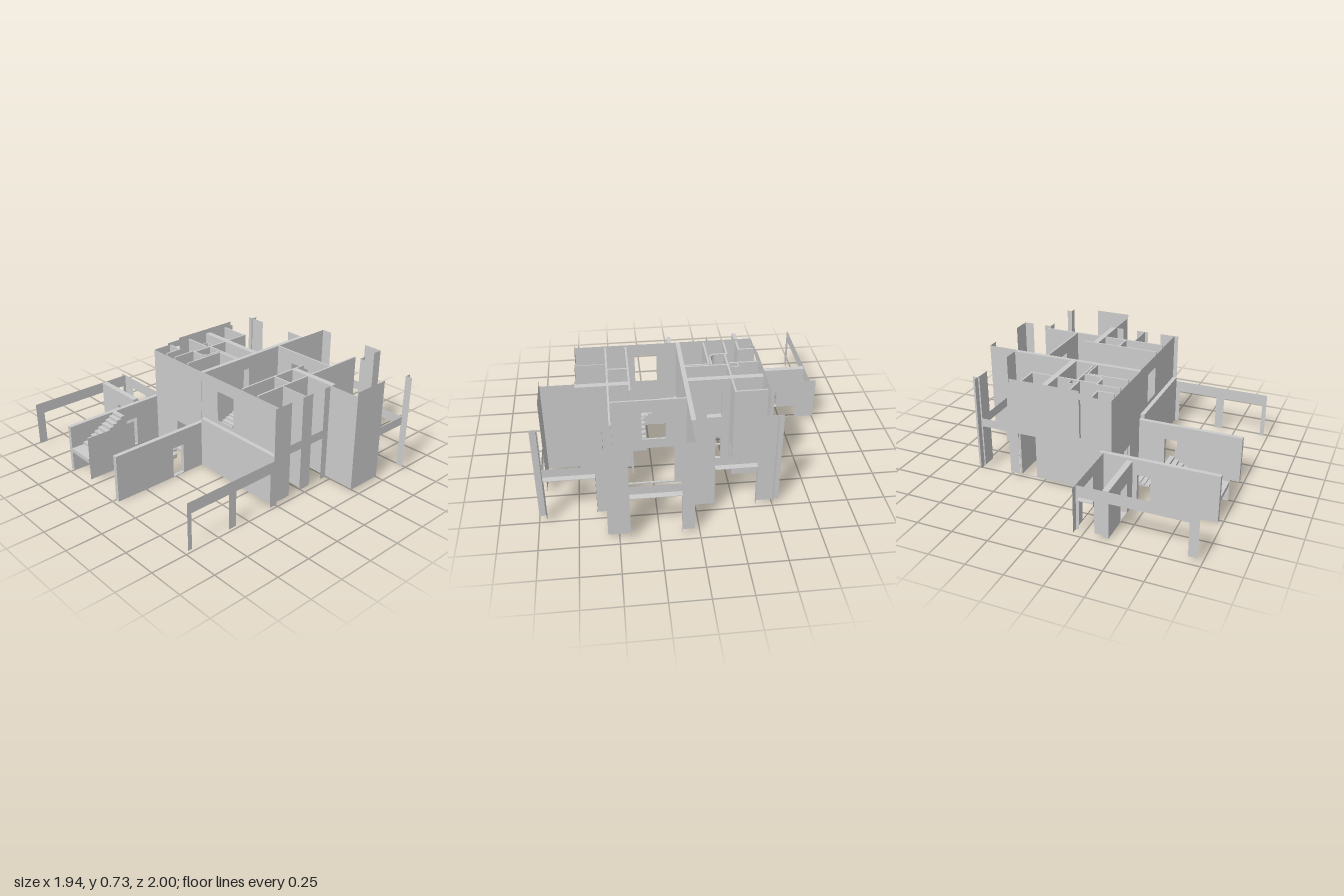
import * as THREE from 'three';

const mat = new THREE.MeshStandardMaterial({ color: 0xcccccc, side: THREE.DoubleSide, flatShading: true });
const LOW = 0.02, MID = 0.33, SILL = 0.39, TOP = 0.69;

export function createModel() {
  const house = new THREE.Group();
  house.name = 'house';

  function add(name, geometry) {
    const mesh = new THREE.Mesh(geometry, mat);
    mesh.name = name;
    house.add(mesh);
  }

  function box(name, x0, x1, y0, y1, z0, z1) {
    const g = new THREE.BoxGeometry(x1 - x0, y1 - y0, z1 - z0);
    g.translate((x0 + x1) / 2, (y0 + y1) / 2, (z0 + z1) / 2);
    add(name, g);
  }

  // Upright panel along 'x' or 'z'; holes are [a0, a1, y0, y1]; thickness 0 gives a sheet
  function wall(name, axis, at, a0, a1, y0, y1, thickness = 0, holes = []) {
    const rect = (C, [p, q, r, s]) =>
      new C([[p, r], [q, r], [q, s], [p, s]].map(([u, v]) => new THREE.Vector2(u, v)));
    const shape = rect(THREE.Shape, [a0, a1, y0, y1]);
    shape.holes = holes.map(h => rect(THREE.Path, h));
    const g = thickness
      ? new THREE.ExtrudeGeometry(shape, { depth: thickness, bevelEnabled: false })
      : new THREE.ShapeGeometry(shape);
    if (axis === 'z') {
      g.rotateY(-Math.PI / 2);
      g.translate(at + thickness, 0, 0);
    } else g.translate(0, 0, at);
    add(name, g);
  }

  // Row of full-height piers with a spandrel sheet across each gap
  function facade(name, axis, at, piers) {
    piers.forEach(([a, b, top = TOP], i) => {
      wall(name + 'Pier', axis, at, a, b, LOW, top);
      if (i) wall(name + 'Spandrel', axis, at, piers[i - 1][1], a, MID, SILL);
    });
  }

  // Lining of a ground-floor opening: head and two jambs
  function lining(name, x0, x1, z0, z1) {
    box(name + 'Head', x0, x1, MID - 0.004, MID, z0, z1);
    for (const z of [z0, z1]) wall(name + 'Jamb', 'x', z, x0, x1, LOW, MID);
  }

  // Outer shell, front
  facade('entranceFront', 'x', 0.73, [[-0.27, -0.13], [-0.03, 0.06], [0.17, 0.22]]);
  facade('bayFront', 'x', 0.955, [[0.22, 0.48, 0.725], [0.71, 0.75]]);
  facade('baySide', 'z', 0.71, [[0.57, 0.63], [0.95, 1.0]]);
  lining('bayWindow', 0.71, 0.75, 0.63, 0.95);
  wall('bayReturn', 'z', 0.23, 0.73, 0.955, LOW, TOP);
  wall('bayWall', 'z', 0.23, 0.38, 0.73, LOW, TOP, 0.04, [[0.42, 0.50, 0.03, 0.22]]);
  facade('sideStep', 'x', 0.57, [[0.71, 0.76], [0.86, 0.93]]);

  // Outer shell, side
  facade('sideWall', 'z', 0.93, [[0.03, 0.11], [0.43, 0.57]]);
  lining('sideWindow', 0.93, 0.97, 0.11, 0.43);
  wall('sideReturn', 'x', 0.03, 0.71, 0.93, LOW, TOP);
  facade('rearSide', 'z', 0.71, [[-0.545, -0.39], [-0.12, 0.03]]);
  lining('rearWindow', 0.71, 0.75, -0.39, -0.12);

  // Outer shell, back
  wall('backWall', 'x', -0.505, -0.24, 0.50, LOW, TOP, 0,
    [[0.30, 0.43, 0.025, MID], [-0.10, -0.02, SILL, 0.66]]);
  wall('backParapet', 'x', -0.505, -0.02, 0.48, TOP, 0.72);
  wall('backParapet', 'x', -0.505, -0.12, -0.02, TOP, 0.705);
  wall('backPier', 'x', -0.505, 0.70, 0.75, LOW, TOP);
  wall('backSpandrel', 'x', -0.505, 0.50, 0.70, MID, SILL);

  // Long side wall: lower storey with a ledge, upper storey set back
  wall('longSideLower', 'z', -0.27, 0.03, 0.73, 0, 0.36, 0.03);
  wall('longSideUpper', 'z', -0.24, 0.03, 0.73, 0.36, TOP, 0, [[0.165, 0.32, SILL, 0.60]]);
  wall('rearSideWall', 'z', -0.243, -0.505, 0, 0, TOP, 0, [[-0.28, -0.17, 0.02, 0.22]]);
  box('doorSill', -0.27, -0.22, 0, LOW, -0.28, -0.18);

  // Spine wall and garden walls with their doorways
  const gardenDoor = [[-0.52, -0.43, 0.005, 0.22]];
  wall('spineWall', 'x', 0, -0.24, 0.71, 0, TOP, 0.03,
    [[0.09, 0.17, 0.02, 0.22], [0.12, 0.17, SILL, 0.60]]);
  wall('gardenWall', 'x', 0, -0.97, -0.24, 0, MID, 0.03, gardenDoor);
  wall('gardenWall', 'x', -0.53, -0.97, -0.17, 0, MID, 0.03, gardenDoor);
  wall('stairParapet', 'x', -0.29, -0.97, -0.60, LOW, MID);

  // Front and rear arcades, with the rear court walls
  for (const [a, b] of [[-0.97, -0.94], [-0.65, -0.59], [-0.30, -0.27]])
    wall('frontArcadePost', 'x', 0.73, a, b, 0, 0.25);
  wall('frontArcadeBeam', 'x', 0.73, -0.97, -0.27, 0.25, MID);
  for (const [a, b] of [[-0.97, -0.91], [-0.38, -0.32], [-0.22, -0.20]])
    wall('rearArcadePost', 'x', -0.955, a, b, LOW, 0.25);
  wall('rearArcadeBeam', 'x', -0.955, -0.97, -0.20, 0.25, MID);
  box('rearLintel', -0.32, -0.22, 0.245, 0.25, -0.99, -0.955);
  wall('courtSide', 'z', -0.20, -1.0, -0.53, LOW, MID, 0, [[-0.86, -0.70, 0.03, 0.25]]);
  wall('courtPartition', 'z', -0.41, -0.95, -0.56, 0, MID, 0.04, [[-0.76, -0.65, 0.005, 0.22]]);

  // Interior partitions: axis, position, start, end, thickness, holes
  const T = 0.012;
  const partitions = [
    ['x', 0.515, -0.22, 0.71, T, [[-0.13, -0.05, 0.03, 0.22], [0.35, 0.44, 0.03, 0.22]]],
    ['x', 0.375, -0.22, 0.34, T, [[0.10, 0.18, 0.03, 0.22]]],
    ['x', -0.295, -0.05, 0.43, T, [[0.30, 0.38, 0.03, 0.22]]],
    ['x', -0.31, -0.22, -0.05, T, []],
    ['x', -0.17, -0.22, 0.07, T, []],
    ['x', -0.40, -0.22, -0.10, T, []],
    ['z', -0.108, -0.50, -0.39, T, []],
    ['z', 0.065, -0.50, -0.30, T, []],
    ['z', 0.065, -0.16, 0, T, []],
    ['z', 0.083, -0.30, 0, T, [[-0.28, -0.17, 0.03, 0.22]]],
    ['z', 0.415, -0.50, -0.29, T, []],
    ['z', 0.455, 0.03, 0.515, T, [[0.165, 0.32, SILL, 0.60], [0.11, 0.43, 0.03, 0.32]]],
    ['z', 0.06, 0.38, 0.52, T, []],
    ['z', -0.005, 0.53, 0.73, 0.006, []],
    ['z', 0.23, -0.50, 0, 0.04,
      [[-0.44, -0.36, 0.03, 0.22], [-0.23, -0.15, 0.03, 0.22], [-0.23, -0.13, SILL, 0.60]]],
  ];
  for (const [axis, at, a, b, t, holes] of partitions)
    wall('partition', axis, at, a, b, LOW, TOP, t, holes);

  // Curved partition linking two inner walls
  const curve = new THREE.Shape();
  curve.moveTo(-0.06, 0.31);
  curve.lineTo(-0.06, 0.23);
  curve.quadraticCurveTo(-0.06, 0.175, 0, 0.175);
  curve.lineTo(0.09, 0.175);
  curve.lineTo(0.09, 0.187);
  curve.lineTo(0, 0.187);
  curve.quadraticCurveTo(-0.048, 0.187, -0.048, 0.23);
  curve.lineTo(-0.048, 0.31);
  const bent = new THREE.ExtrudeGeometry(curve, { depth: TOP - LOW, bevelEnabled: false, curveSegments: 8 });
  bent.rotateX(-Math.PI / 2);
  bent.translate(0, LOW, 0);
  add('curvedPartition', bent);

  // Small shaft
  for (const x of [0.07, 0.12]) wall('shaft', 'z', x, -0.36, -0.30, LOW, TOP, 0.008);
  wall('shaft', 'x', -0.36, 0.07, 0.128, LOW, TOP, 0.008);

  // Straight flight of treads along one axis
  function flight(name, axis, from, to, c0, c1, y0, y1, n) {
    const d = (to - from) / n;
    for (let i = 0; i < n; i++) {
      const a = from + i * d, y = y0 + (y1 - y0) * (i + 1) / n;
      const lo = Math.min(a, a + d), hi = Math.max(a, a + d), b = Math.max(0, y - 0.03);
      if (axis === 'x') box(name, lo, hi, b, y, c0, c1);
      else box(name, c0, c1, b, y, lo, hi);
    }
  }

  // Three-sided indoor stair; corners are winders cut as triangles
  flight('indoorStair', 'x', 0.07, -0.11, 0.27, 0.38, 0.01, 0.13, 6);
  flight('indoorStair', 'z', 0.27, 0.14, -0.22, -0.11, 0.16, 0.24, 5);
  flight('indoorStair', 'x', -0.11, 0.07, 0.03, 0.14, 0.26, MID, 6);
  function winder(points, y) {
    const g = new THREE.ExtrudeGeometry(
      new THREE.Shape(points.map(([x, z]) => new THREE.Vector2(x, -z))), { depth: 0.03, bevelEnabled: false });
    g.rotateX(-Math.PI / 2);
    g.translate(0, y - 0.03, 0);
    add('stairWinder', g);
  }
  winder([[-0.11, 0.27], [-0.11, 0.38], [-0.22, 0.38]], 0.145);
  winder([[-0.11, 0.27], [-0.22, 0.38], [-0.22, 0.27]], 0.165);
  winder([[-0.11, 0.14], [-0.22, 0.14], [-0.22, 0.03]], 0.245);
  winder([[-0.11, 0.14], [-0.22, 0.03], [-0.11, 0.03]], 0.26);

  // Two-flight garden stair with landing, and small steps
  flight('gardenStair', 'x', -0.60, -0.88, -0.40, -0.30, 0, 0.16, 9);
  box('stairLanding', -0.97, -0.88, 0.14, 0.17, -0.50, -0.30);
  flight('gardenStair', 'x', -0.88, -0.60, -0.50, -0.40, 0.17, MID, 9);
  flight('gardenStep', 'x', -0.43, -0.34, -0.30, -0.16, 0, 0.03, 3);
  box('gardenScreen', -0.555, -0.545, 0, 0.03, -0.20, -0.10);

  return house;
}
